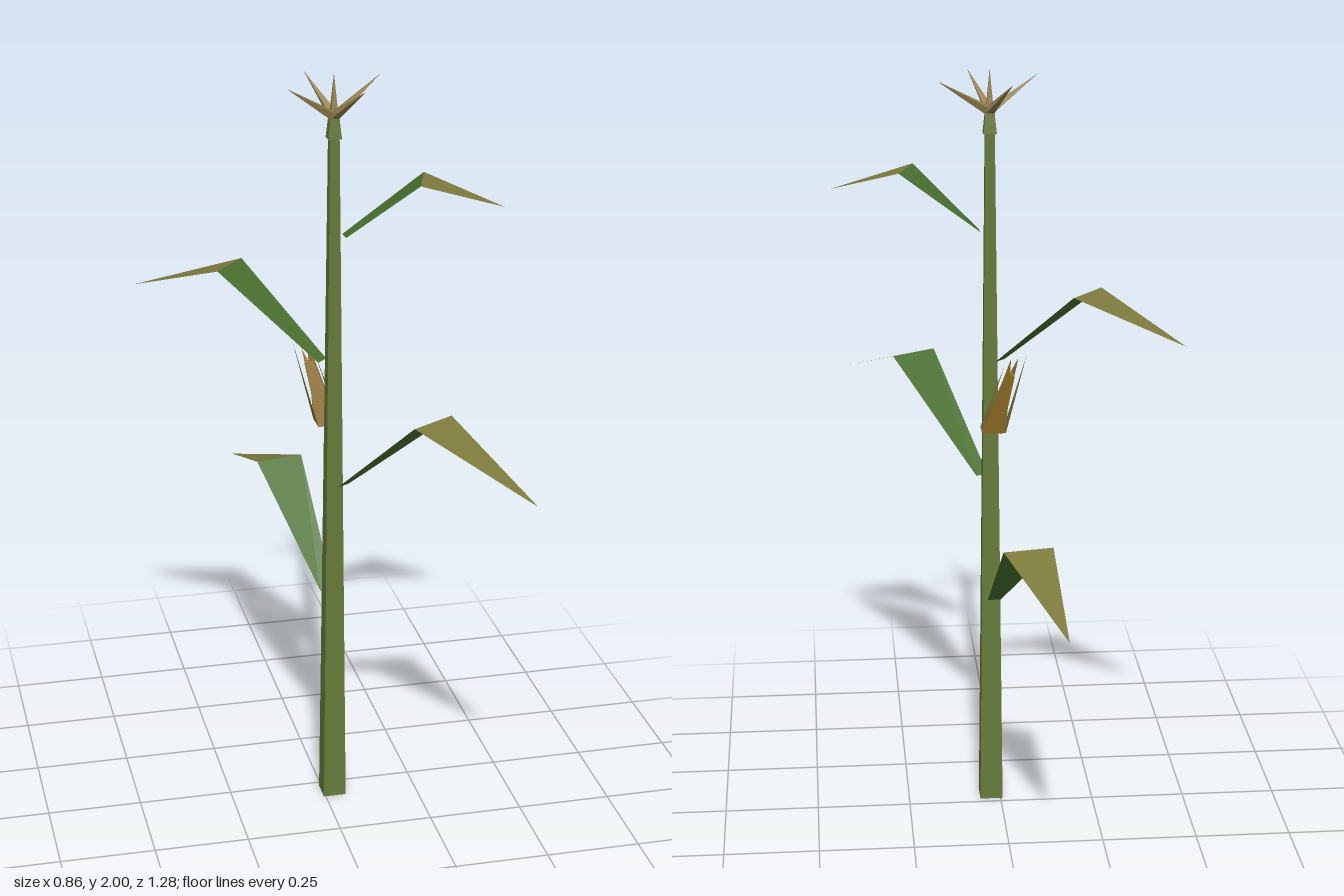
import * as THREE from 'three';

const V = (x, y, z) => new THREE.Vector3(x, y, z);
const mat = (color) => new THREE.MeshStandardMaterial({ color, flatShading: true, side: THREE.DoubleSide });

const stalkMat = mat(0x66793a);
const leafMat = mat(0x4a7030);
const tipMat = mat(0x7d7a3e);
const earMat = mat(0x8f6c24);
const tasselMat = mat(0x93804e);

// Flat panel from three or four corners in loop order
function panel(points, material, name) {
  const geo = new THREE.BufferGeometry().setFromPoints(points);
  geo.setIndex(points.length === 4 ? [0, 1, 2, 0, 2, 3] : [0, 1, 2]);
  geo.computeVertexNormals();
  const mesh = new THREE.Mesh(geo, material);
  mesh.name = name;
  return mesh;
}

// Four-sided tapered post between two points
function post(a, b, ra, rb, material, name) {
  const dir = b.clone().sub(a);
  const geo = new THREE.CylinderGeometry(rb, ra, dir.length(), 4);
  geo.rotateY(Math.PI / 4);
  const mesh = new THREE.Mesh(geo, material);
  mesh.position.copy(a).add(b).multiplyScalar(0.5);
  mesh.quaternion.setFromUnitVectors(V(0, 1, 0), dir.normalize());
  mesh.name = name;
  return mesh;
}

export function createModel() {
  const plant = new THREE.Group();
  plant.name = 'cornPlant';
  const cx = 0.025, cz = 0.048;

  // Square stalk and the swollen collar under the tassel
  plant.add(post(V(cx, 0, cz), V(cx, 1.85, cz), 0.043, 0.017, stalkMat, 'stalk'));
  plant.add(post(V(cx, 1.84, cz), V(cx, 1.91, cz), 0.024, 0.014, stalkMat, 'tasselCollar'));

  // Leaves: base, fold and tip, with heights [base, fold, tip] and [x, z] corners
  const leaves = [
    { y: [0.59, 0.85, 0.735], base: [[0.0, 0.01], [0.035, 0.01]], fold: [[-0.108, -0.294], [0.02, -0.318]], tip: [-0.113, -0.64] },
    { y: [0.92, 1.185, 1.065], base: [[0.06, 0.07], [0.03, 0.085]], fold: [[0.267, 0.308], [0.154, 0.376]], tip: [0.393, 0.638] },
    { y: [1.25, 1.47, 1.375], base: [[-0.012, 0.038], [0.015, 0.01]], fold: [[-0.246, 0.092 * -1], [-0.165, -0.19]], tip: [-0.43, -0.32] },
    { y: [1.588, 1.74, 1.675], base: [[0.05, 0.035], [0.052, 0.07]], fold: [[0.256, 0.048], [0.215, 0.173]], tip: [0.43, 0.177] },
  ];
  for (const { y, base, fold, tip } of leaves) {
    const leaf = new THREE.Group();
    leaf.name = 'leaf';
    const [b0, b1] = base.map(([x, z]) => V(x, y[0], z));
    const [f0, f1] = fold.map(([x, z]) => V(x, y[1], z));
    leaf.add(panel([b0, b1, f1, f0], leafMat, 'leafInner'));
    leaf.add(panel([f0, f1, V(tip[0], y[2], tip[1])], tipMat, 'leafOuter'));
    plant.add(leaf);
  }

  // Ear leaning out at the back, wrapped in pointed husks
  const ear = new THREE.Group();
  ear.name = 'ear';
  const foot = [V(-0.01, 1.07, 0.03), V(0.052, 1.07, 0.03), V(0.052, 1.07, -0.03), V(-0.01, 1.07, -0.03)];
  const tips = [V(-0.042, 1.27, -0.025), V(-0.005, 1.25, -0.035), V(-0.02, 1.28, -0.065), V(-0.062, 1.285, -0.045)];
  ear.add(post(V(0.02, 1.075, 0), V(-0.022, 1.23, -0.033), 0.032, 0.014, earMat, 'cob'));
  ear.add(panel(foot, earMat, 'earBase'));
  foot.forEach((p, i) => {
    ear.add(panel([p, foot[(i + 1) % 4], tips[i]], i % 2 ? tipMat : earMat, 'husk'));
  });
  plant.add(ear);

  // Tassel: four spreading spikes around an upright one
  const tassel = new THREE.Group();
  tassel.name = 'tassel';
  const heart = V(cx, 1.895, cz);
  for (const [x, y, z] of [[-0.1, 1.98, 0.096], [0.155, 1.98, -0.01], [0.072, 1.98, 0.17], [-0.022, 1.98, -0.075], [cx, 2, cz]]) {
    tassel.add(post(heart, V(x, y, z), 0.014, 0.0005, tasselMat, 'tasselSpike'));
  }
  plant.add(tassel);
  return plant;
}
